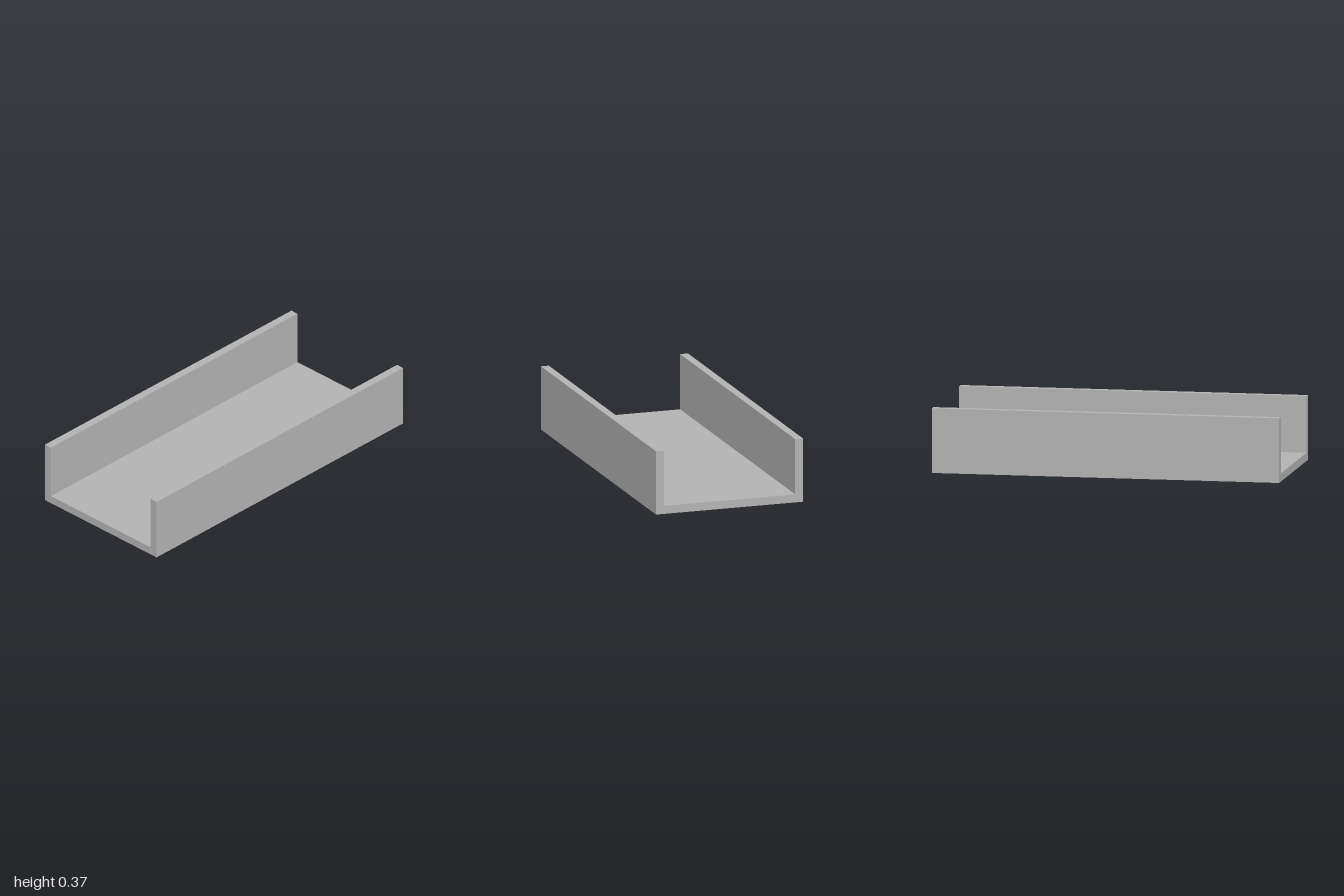
import * as THREE from 'three';

const LENGTH = 2, HALF_WIDTH = 0.44, HEIGHT = 0.37, WALL = 0.047;
const HOLE_X = 0.875, HOLE_Z = 0.195, HOLE_RADIUS = 0.023, HOLE_DEPTH = 0.035;

// U-shaped section swept along x, left open underneath for the drilled base face
function channelGeometry() {
  const inner = HALF_WIDTH - WALL;
  const profile = new THREE.Shape([
    [-HALF_WIDTH, 0], [HALF_WIDTH, 0], [HALF_WIDTH, HEIGHT], [inner, HEIGHT],
    [inner, WALL], [-inner, WALL], [-inner, HEIGHT], [-HALF_WIDTH, HEIGHT],
  ].map(([x, y]) => new THREE.Vector2(x, y)));
  const swept = new THREE.ExtrudeGeometry(profile, { depth: LENGTH, bevelEnabled: false });
  swept.translate(0, 0, -LENGTH / 2).rotateY(Math.PI / 2);

  const { position, normal } = swept.attributes;
  const kept = [];
  for (let i = 0; i < position.count; i += 3) {
    if (normal.getY(i) < -0.5) continue;
    for (let k = i; k < i + 3; k++) kept.push(position.getX(k), position.getY(k), position.getZ(k));
  }
  const geometry = new THREE.BufferGeometry();
  geometry.setAttribute('position', new THREE.Float32BufferAttribute(kept, 3));
  geometry.computeVertexNormals();
  return geometry;
}

export function createModel() {
  const group = new THREE.Group();
  group.name = 'channelTray';
  const grey = new THREE.MeshStandardMaterial({ color: 0xb2b2b2 });
  grey.name = 'grey';

  const add = (name, geometry, x = 0, y = 0, z = 0) => {
    const mesh = new THREE.Mesh(geometry, grey);
    mesh.name = name;
    mesh.position.set(x, y, z);
    group.add(mesh);
  };

  add('channel', channelGeometry());

  // Underside with four mounting holes
  const base = new THREE.Shape([
    new THREE.Vector2(-LENGTH / 2, -HALF_WIDTH), new THREE.Vector2(LENGTH / 2, -HALF_WIDTH),
    new THREE.Vector2(LENGTH / 2, HALF_WIDTH), new THREE.Vector2(-LENGTH / 2, HALF_WIDTH),
  ]);
  // Inward-facing hole wall and the blind end above it
  const wall = new THREE.CylinderGeometry(HOLE_RADIUS, HOLE_RADIUS, HOLE_DEPTH, 24, 1, true);
  wall.scale(-1, 1, 1).computeVertexNormals();
  const end = new THREE.CircleGeometry(HOLE_RADIUS, 24).rotateX(Math.PI / 2);

  for (const x of [-HOLE_X, HOLE_X]) {
    for (const z of [-HOLE_Z, HOLE_Z]) {
      base.holes.push(new THREE.Path().absarc(x, z, HOLE_RADIUS, 0, Math.PI * 2, true));
      add('holeWall', wall, x, HOLE_DEPTH / 2, z);
      add('holeEnd', end, x, HOLE_DEPTH, z);
    }
  }
  add('underside', new THREE.ShapeGeometry(base, 12).rotateX(Math.PI / 2));

  return group;
}
